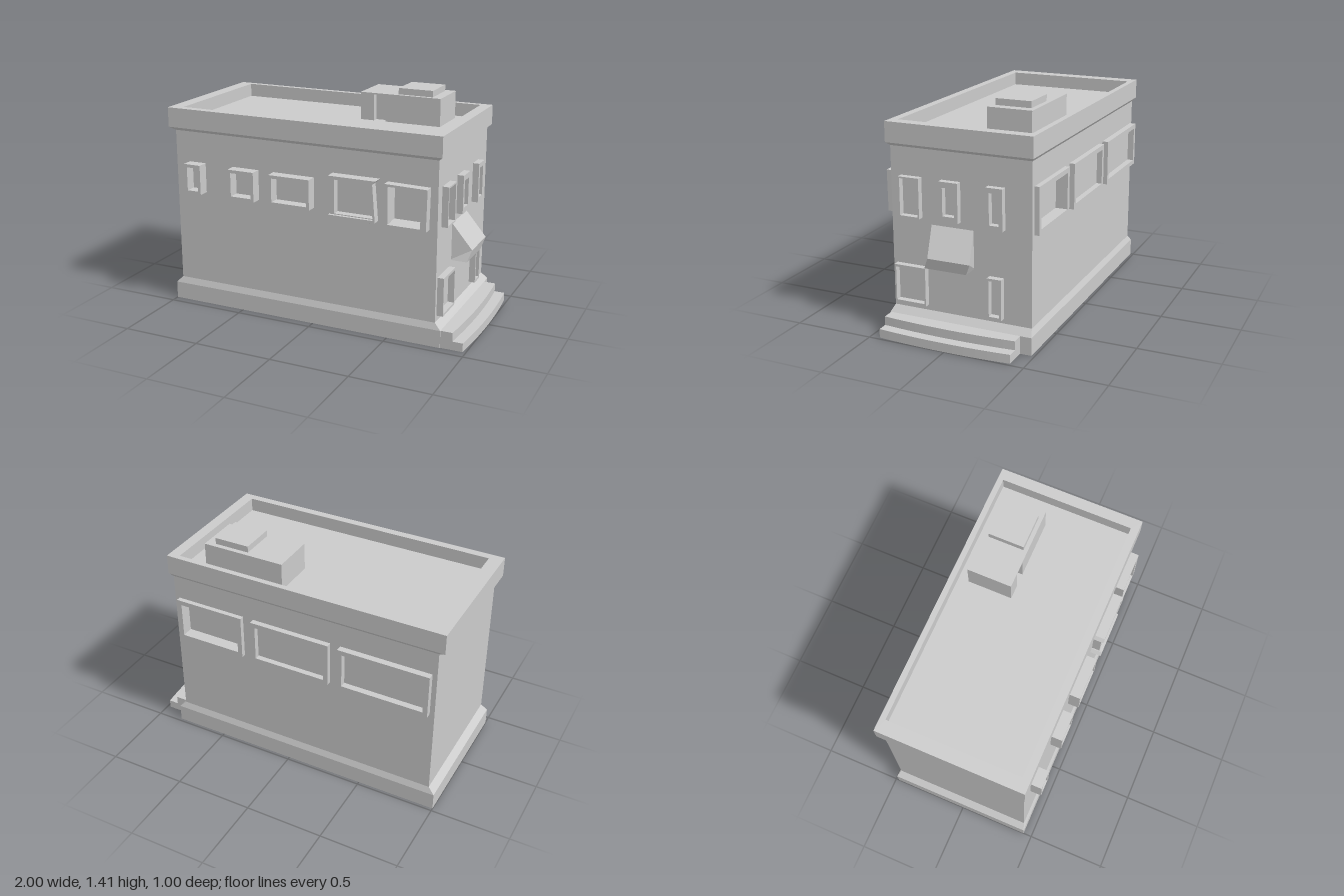
import * as THREE from 'three';

const mat = new THREE.MeshStandardMaterial({ color: 0xcccccc, flatShading: true, side: THREE.DoubleSide });

// Outline from corner points, with optional holes
function outline(points, ...holes) {
  const shape = new THREE.Shape(points.map(p => new THREE.Vector2(...p)));
  for (const h of holes) shape.holes.push(new THREE.Path(h.map(p => new THREE.Vector2(...p))));
  return shape;
}
const rect = (x0, x1, y0, y1) => [[x0, y0], [x1, y0], [x1, y1], [x0, y1]];
const extrude = (shape, depth) => new THREE.ExtrudeGeometry(shape, { depth, bevelEnabled: false, curveSegments: 12 });

// Box given by its limits
function block(x0, x1, y0, y1, z0, z1) {
  return new THREE.BoxGeometry(x1 - x0, y1 - y0, z1 - z0)
    .translate((x0 + x1) / 2, (y0 + y1) / 2, (z0 + z1) / 2);
}

// Stack of rectangles [y, x0, x1, z0, z1] joined by walls and closed by a cap
function loft(rings) {
  const pos = [], index = [];
  for (const [y, x0, x1, z0, z1] of rings) pos.push(x0, y, z1, x1, y, z1, x1, y, z0, x0, y, z0);
  for (let r = 0; r < rings.length - 1; r++) for (let i = 0; i < 4; i++) {
    const a = r * 4 + i, b = r * 4 + (i + 1) % 4;
    index.push(a, b, b + 4, a, b + 4, a + 4);
  }
  const t = (rings.length - 1) * 4;
  index.push(t, t + 1, t + 2, t, t + 2, t + 3);
  const g = new THREE.BufferGeometry();
  g.setAttribute('position', new THREE.Float32BufferAttribute(pos, 3));
  g.setIndex(index);
  const flat = g.toNonIndexed();
  flat.computeVertexNormals();
  return flat;
}

export function createModel() {
  const model = new THREE.Group();
  const add = (name, geometry) => {
    const m = new THREE.Mesh(geometry, mat);
    m.name = name;
    model.add(m);
    return m;
  };

  // Main body: core plus front and back walls with one deep opening each
  const X0 = -0.96, X1 = 0.8;
  add('bodyCore', block(X0, X1, 0.02, 1.15, -0.42, 0.36));
  add('frontWall', extrude(outline(rect(X0, X1, 0.02, 1.15), rect(0.505, 0.715, 0.735, 0.965)), 0.07).translate(0, 0, 0.36));
  add('backWall', extrude(outline(rect(X0, X1, 0.02, 1.15), rect(0.34, 0.74, 0.735, 0.96)), 0.045).translate(0, 0, -0.465));

  // Plinth with sloped top edge
  add('plinth', loft([[0, -1, 0.84, -0.48, 0.445], [0.11, -1, 0.84, -0.48, 0.445], [0.15, X0, X1, -0.465, 0.43]]));
  add('plinthUnderside', block(-1, 0.84, 0, 0.01, -0.48, 0.445));

  // Overhanging parapet and sunken roof
  add('roofParapet', loft([
    [1.14, X0, X1, -0.465, 0.43], [1.16, -1, 0.825, -0.48, 0.45], [1.285, -1, 0.825, -0.48, 0.45],
    [1.285, -0.915, 0.755, -0.445, 0.4], [1.2, -0.915, 0.755, -0.445, 0.4]]));

  // Roof hut with a doorway recess and a vent lid
  add('roofHut', block(0.08, 0.61, 1.19, 1.375, -0.38, -0.14));
  add('roofHutFront', extrude(outline([[0.08, 1.19], [0.17, 1.19], [0.17, 1.365], [0.25, 1.365],
    [0.25, 1.19], [0.61, 1.19], [0.61, 1.375], [0.08, 1.375]]), 0.04).translate(0, 0, -0.14));
  add('roofVent', block(0.325, 0.55, 1.375, 1.415, -0.35, -0.125));

  // Curved entrance steps
  for (const [name, edge, mid, y, h] of [['lowerStep', 0.98, 1, 0, 0.055], ['upperStep', 0.915, 0.935, 0.055, 0.055]]) {
    const s = new THREE.Shape();
    s.moveTo(0.78, -0.44);
    s.lineTo(edge, -0.44);
    s.quadraticCurveTo(2 * mid - edge, -0.015, edge, 0.41);
    s.lineTo(0.78, 0.41);
    add(name, extrude(s, h).rotateX(-Math.PI / 2).translate(0, y, 0));
  }

  // Front window frames: x0, x1
  for (const [x0, x1] of [[-0.865, -0.75], [-0.55, -0.37], [-0.265, 0.01]])
    add('frontWindowFrame', extrude(outline(rect(x0, x1, 0.755, 0.945),
      rect(x0 + 0.02, x1 - 0.02, 0.775, 0.925)), 0.07).translate(0, 0, 0.43));

  // Skewed front window with lips above and below
  add('skewedWindowFrame', extrude(outline([[0.14, 0.73], [0.43, 0.73], [0.41, 0.98], [0.14, 0.98]],
    [[0.168, 0.755], [0.415, 0.755], [0.395, 0.965], [0.168, 0.965]]), 0.05).translate(0, 0, 0.43));
  add('skewedWindowTopLip', extrude(outline([[0.115, 0.97], [0.42, 0.97], [0.44, 0.99], [0.135, 0.99]]), 0.07).translate(0, 0, 0.43));
  add('skewedWindowBottomLip', extrude(outline([[0.115, 0.73], [0.4, 0.73], [0.42, 0.75], [0.135, 0.75]]), 0.07).translate(0, 0, 0.43));

  // Deep front window with one thick jamb
  add('deepWindowFrame', extrude(outline([[0.505, 0.72], [0.75, 0.72], [0.755, 0.975], [0.49, 0.98]],
    rect(0.512, 0.715, 0.735, 0.965)), 0.057).translate(0, 0, 0.43));

  // Back window frames: x0, x1, outer z
  for (const [x0, x1, z] of [[-0.93, -0.35, -0.505], [-0.285, 0.24, -0.5], [0.31, 0.77, -0.495]])
    add('backWindowFrame', extrude(outline(rect(x0, x1, 0.705, 0.99),
      rect(x0 + 0.03, x1 - 0.03, 0.735, 0.96)), -0.465 - z).translate(0, 0, z));

  // End wall frames: z0, z1, y0, y1, border in z, border in y
  for (const [z0, z1, y0, y1, bz, by] of [
    [0.23, 0.365, 0.725, 0.97, 0.01, 0.01], [-0.02, 0.1, 0.73, 0.97, 0.023, 0.035],
    [-0.3, -0.195, 0.72, 0.97, 0.022, 0.03], [0.2, 0.405, 0.185, 0.425, 0.01, 0.015],
    [-0.29, -0.2, 0.18, 0.43, 0.012, 0.015]])
    add(y0 > 0.5 ? 'endWindowFrame' : 'endDoorFrame', extrude(outline(rect(-z1, -z0, y0, y1),
      rect(-z1 + bz, -z0 - bz, y0 + by, y1 - by)), 0.04).rotateY(Math.PI / 2).translate(X1, 0, 0));

  // Awning: wedge whose outer ridge is shifted sideways
  const awning = extrude(outline([[0.79, 0.455], [0.9, 0.455], [0.92, 0.525], [0.8, 0.69], [0.79, 0.69]]), 0.27).translate(0, 0, -0.1);
  const p = awning.attributes.position;
  for (let i = 0; i < p.count; i++) if (p.getX(i) > 0.91) p.setZ(i, p.getZ(i) - 0.032);
  awning.computeVertexNormals();
  add('awning', awning);

  return model;
}
